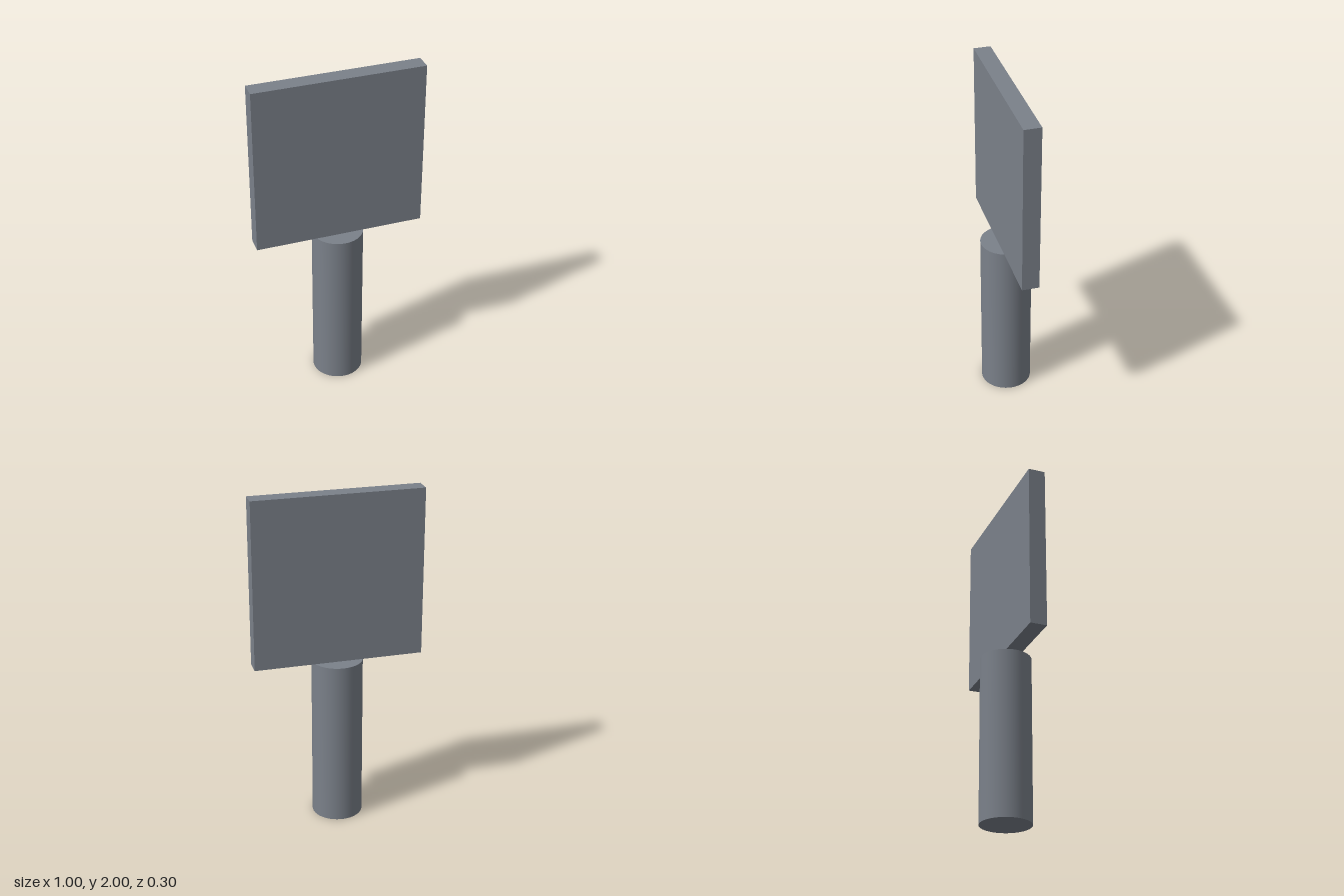
import * as THREE from 'three';

export function createModel() {
  const model = new THREE.Group();
  const material = new THREE.MeshStandardMaterial({ color: 0x7b818a });

  const addPart = (name, geometry, y) => {
    const mesh = new THREE.Mesh(geometry, material);
    mesh.name = name;
    mesh.position.y = y;
    model.add(mesh);
  };

  // Round post standing on the ground
  addPart('post', new THREE.CylinderGeometry(0.15, 0.15, 1, 64), 0.5);

  // Thin square panel resting on top of the post
  addPart('panel', new THREE.BoxGeometry(1, 1, 0.1), 1.5);

  return model;
}
